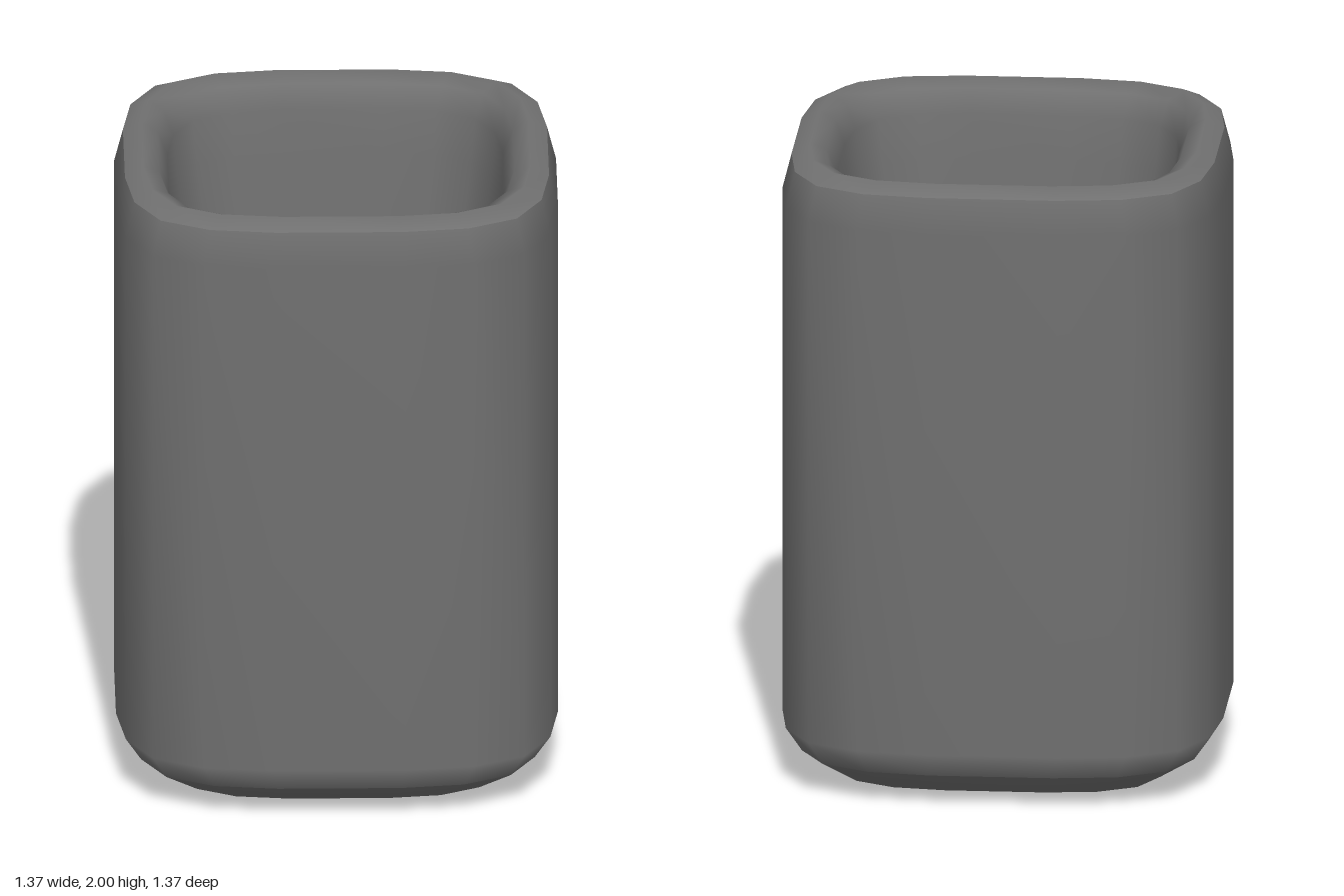
import * as THREE from 'three';
import { mergeVertices } from 'three/addons/utils/BufferGeometryUtils.js';

// Quarter of the rounded-square outline, in units of its half width (from +x towards +z)
const QUARTER = [[1, 0.3], [0.96, 0.61], [0.84, 0.84], [0.61, 0.96], [0.3, 1]];

// Full outline: the quarter turned four times
function outline() {
  const points = [];
  for (let q = 0; q < 4; q++) {
    for (const [x, z] of QUARTER) {
      let p = [x, z];
      for (let k = 0; k < q; k++) p = [-p[1], p[0]];
      points.push(p);
    }
  }
  return points;
}

// Skin the outline along a profile of [half width, height, roundness]; roundness 1 is a circle
function loft(profile) {
  const ring = outline();
  const n = ring.length;
  const positions = [];
  const index = [];
  for (const [r, y, round = 0] of profile) {
    for (const [x, z] of ring) {
      const s = r * THREE.MathUtils.lerp(1, 1 / Math.hypot(x, z), round);
      positions.push(x * s, y, z * s);
    }
  }
  for (let i = 0; i < profile.length - 1; i++) {
    for (let j = 0; j < n; j++) {
      const a = i * n + j;
      const b = i * n + (j + 1) % n;
      // one triangle per side where a ring closes to a point
      if (profile[i + 1][0] > 0) index.push(a, a + n, b + n);
      if (profile[i][0] > 0) index.push(a, b + n, b);
    }
  }
  let geometry = new THREE.BufferGeometry();
  geometry.setAttribute('position', new THREE.Float32BufferAttribute(positions, 3));
  geometry.setIndex(index);
  geometry = mergeVertices(geometry);
  geometry.computeVertexNormals();
  return geometry;
}

// Each part is smooth in itself; the seams between parts are the hard edges
const PARTS = {
  foot: [[0, 0], [0.38, 0], [0.52, 0.02], [0.635, 0.1]],
  outerWall: [[0.635, 0.1], [0.685, 0.18], [0.685, 1.86], [0.657, 1.97]],
  rimAndInside: [
    [0.657, 1.97], [0.6, 2], [0.55, 1.975], [0.52, 1.9], [0.513, 1.76, 0.1],
    [0.43, 1.1, 0.3], [0.415, 0.5, 0.35], [0.27, 0.22, 0.4], [0.16, 0.18, 0.4], [0, 0.17],
  ],
};

export function createModel() {
  const group = new THREE.Group();
  group.name = 'squareCup';
  const material = new THREE.MeshStandardMaterial({ color: 0x707070 });
  for (const [name, profile] of Object.entries(PARTS)) {
    const mesh = new THREE.Mesh(loft(profile), material);
    mesh.name = name;
    group.add(mesh);
  }
  return group;
}
